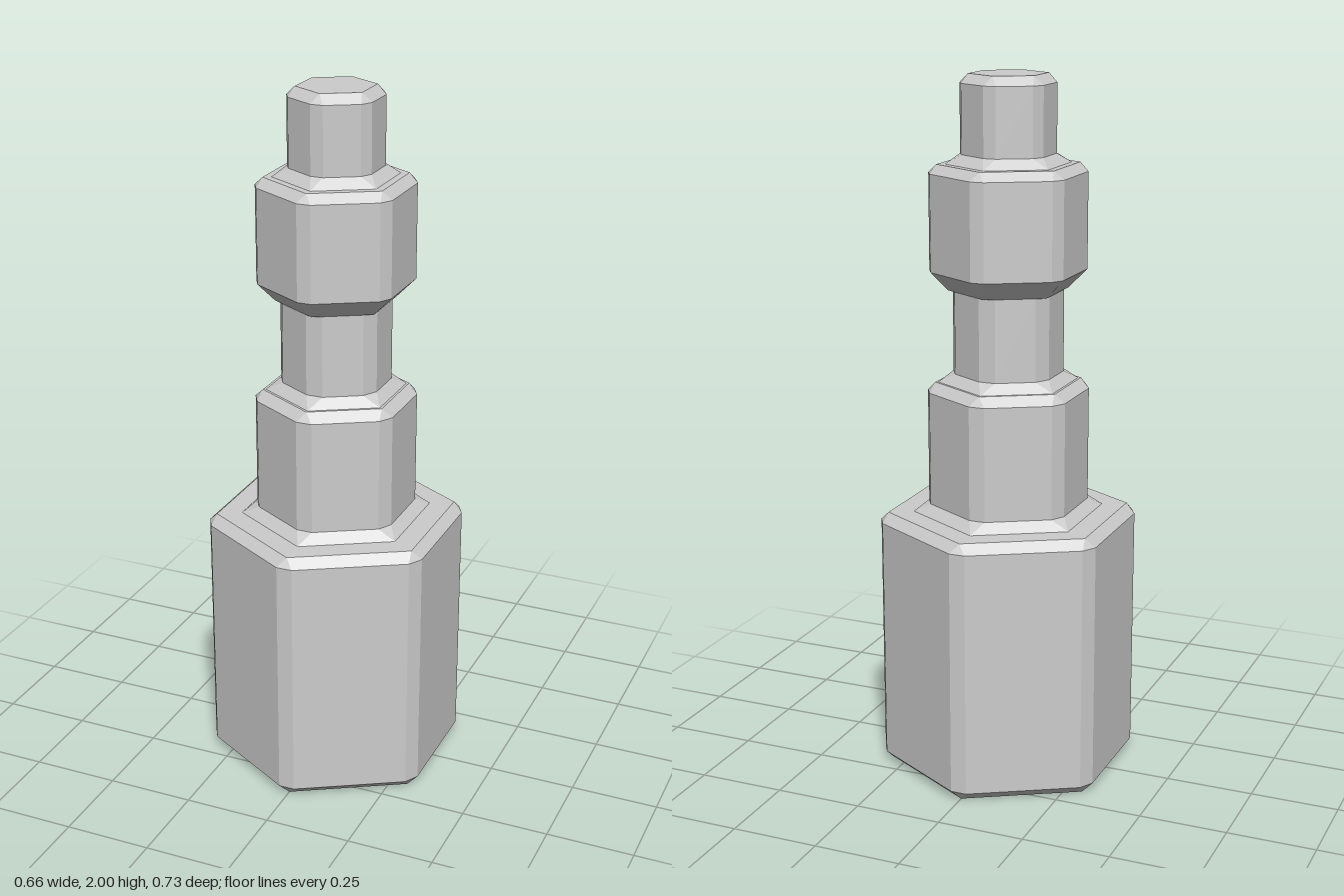
import * as THREE from 'three';

const material = new THREE.MeshStandardMaterial({ color: 0xcccccc, flatShading: true });

// Hexagon with flats on +-x: a = centre-to-flat distance, h = half width of the corner chamfer
function hexRing([y, a, h = 0]) {
  const cut = a / Math.cos(Math.PI / 6) - h / Math.sqrt(3);
  const ring = [];
  for (let k = 0; k < 6; k++) {
    const t = k * Math.PI / 3, s = Math.sin(t), c = Math.cos(t);
    for (const side of [-h, h]) {
      ring.push(new THREE.Vector3(s * cut + c * side, y, c * cut - s * side));
    }
  }
  return ring;
}

// Skin neighbouring rings, listed from bottom to top; a ring of size 0 closes an end
function hexSection(name, rings) {
  const loops = rings.map(hexRing), pos = [];
  const tri = (p, q, r) => {
    if (p.distanceTo(q) < 1e-6 || q.distanceTo(r) < 1e-6 || r.distanceTo(p) < 1e-6) return;
    for (const v of [p, q, r]) pos.push(v.x, v.y, v.z);
  };
  for (let i = 0; i + 1 < loops.length; i++) {
    const low = loops[i], high = loops[i + 1];
    for (let j = 0; j < 12; j++) {
      const n = (j + 1) % 12;
      tri(low[j], low[n], high[n]);
      tri(low[j], high[n], high[j]);
    }
  }
  const geometry = new THREE.BufferGeometry();
  geometry.setAttribute('position', new THREE.Float32BufferAttribute(pos, 3));
  geometry.computeVertexNormals();
  const mesh = new THREE.Mesh(geometry, material);
  mesh.name = name;
  return mesh;
}

export function createModel() {
  const group = new THREE.Group();
  group.name = 'steppedHexPost';
  group.add(
    // Wide bevelled base with a flat shoulder
    hexSection('base', [
      [0, 0], [0, 0.3], [0.027, 0.328, 0.023], [0.737, 0.328, 0.023], [0.763, 0.3], [0.763, 0.237],
    ]),
    // Middle column flaring into the base
    hexSection('column', [
      [0.763, 0.237], [0.79, 0.208, 0.023], [1.117, 0.208, 0.023], [1.143, 0.18], [1.143, 0.173],
    ]),
    // Narrow neck
    hexSection('neck', [
      [1.143, 0.173], [1.17, 0.145, 0.024], [1.405, 0.145, 0.024],
    ]),
    // Bulging collar with a tapered underside
    hexSection('collar', [
      [1.405, 0.145, 0.024], [1.405, 0.147], [1.46, 0.2, 0.02], [1.732, 0.2, 0.02],
      [1.756, 0.173], [1.756, 0.152],
    ]),
    // Small tip
    hexSection('tip', [
      [1.756, 0.152], [1.783, 0.123, 0.018], [1.975, 0.123, 0.018], [2, 0.096], [2, 0],
    ]),
  );
  return group;
}
